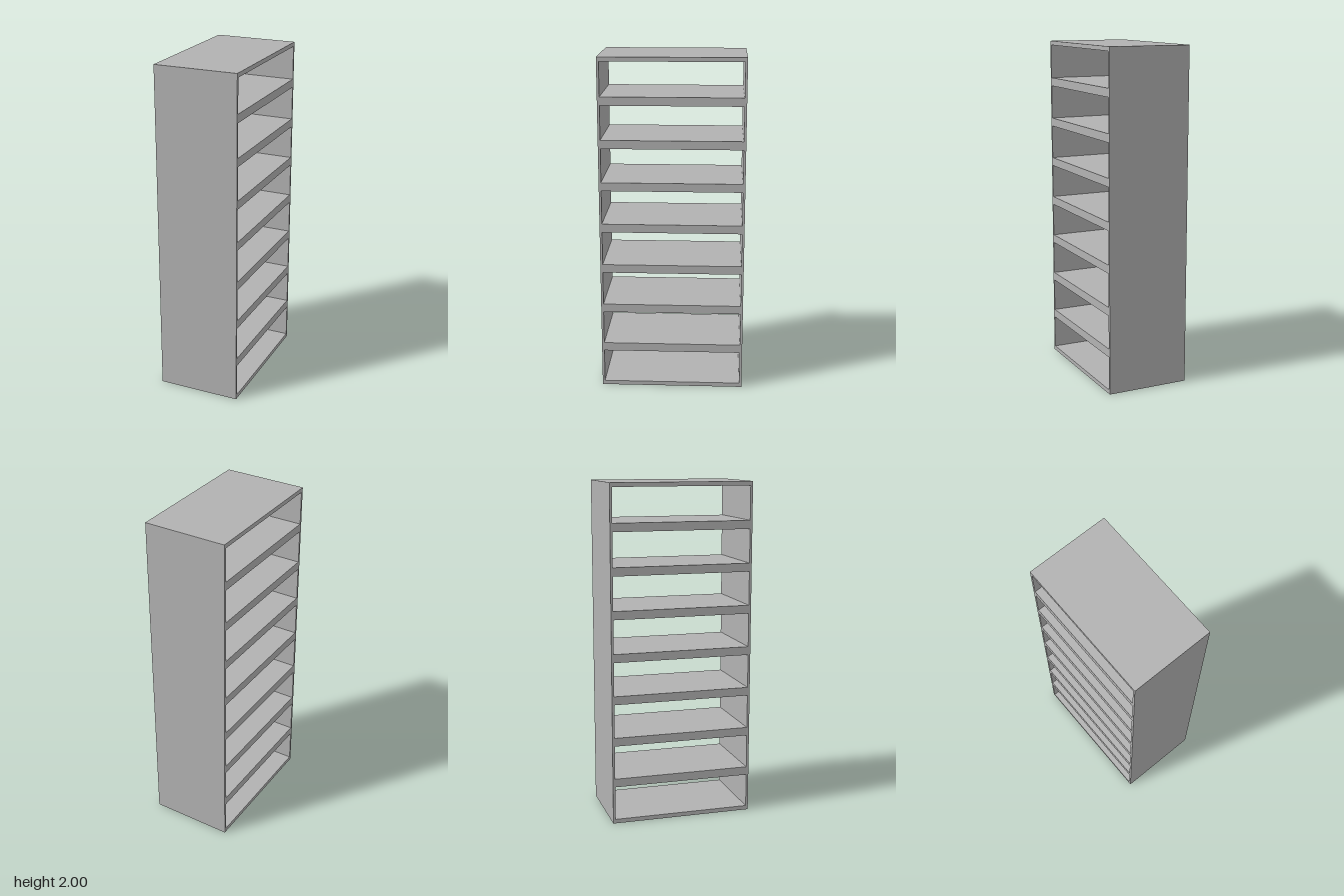
import * as THREE from 'three';

const WIDTH = 0.85;    // along z
const HEIGHT = 2;
const DEPTH = 0.498;   // along x, open at both ends
const BAYS = 8;
const WALL = 0.014;    // upright panel thickness
const LIP = 0.025;     // board thickness above and below each bay

// Adds the four corners of a rectangle to a shape or path
function rectangle(path, x0, y0, x1, y1) {
  path.moveTo(x0, y0);
  path.lineTo(x1, y0);
  path.lineTo(x1, y1);
  path.lineTo(x0, y1);
  path.closePath();
  return path;
}

export function createModel() {
  const group = new THREE.Group();
  group.name = 'openShelfUnit';

  const grey = new THREE.MeshStandardMaterial({ color: 0xb2b2b2 });
  grey.name = 'plain grey';

  // Outer outline of the cabinet
  const half = WIDTH / 2;
  const outline = rectangle(new THREE.Shape(), -half, 0, half, HEIGHT);

  // One through opening per bay, leaving the shelves between them
  const pitch = HEIGHT / BAYS;
  for (let i = 0; i < BAYS; i++) {
    const y = i * pitch;
    outline.holes.push(
      rectangle(new THREE.Path(), -half + WALL, y + LIP, half - WALL, y + pitch - LIP)
    );
  }

  // Extrude through the depth and turn the openings to face left and right
  const geometry = new THREE.ExtrudeGeometry(outline, { depth: DEPTH, bevelEnabled: false });
  geometry.translate(0, 0, -DEPTH / 2);
  geometry.rotateY(Math.PI / 2);

  const frame = new THREE.Mesh(geometry, grey);
  frame.name = 'shelfFrame';
  group.add(frame);

  return group;
}
